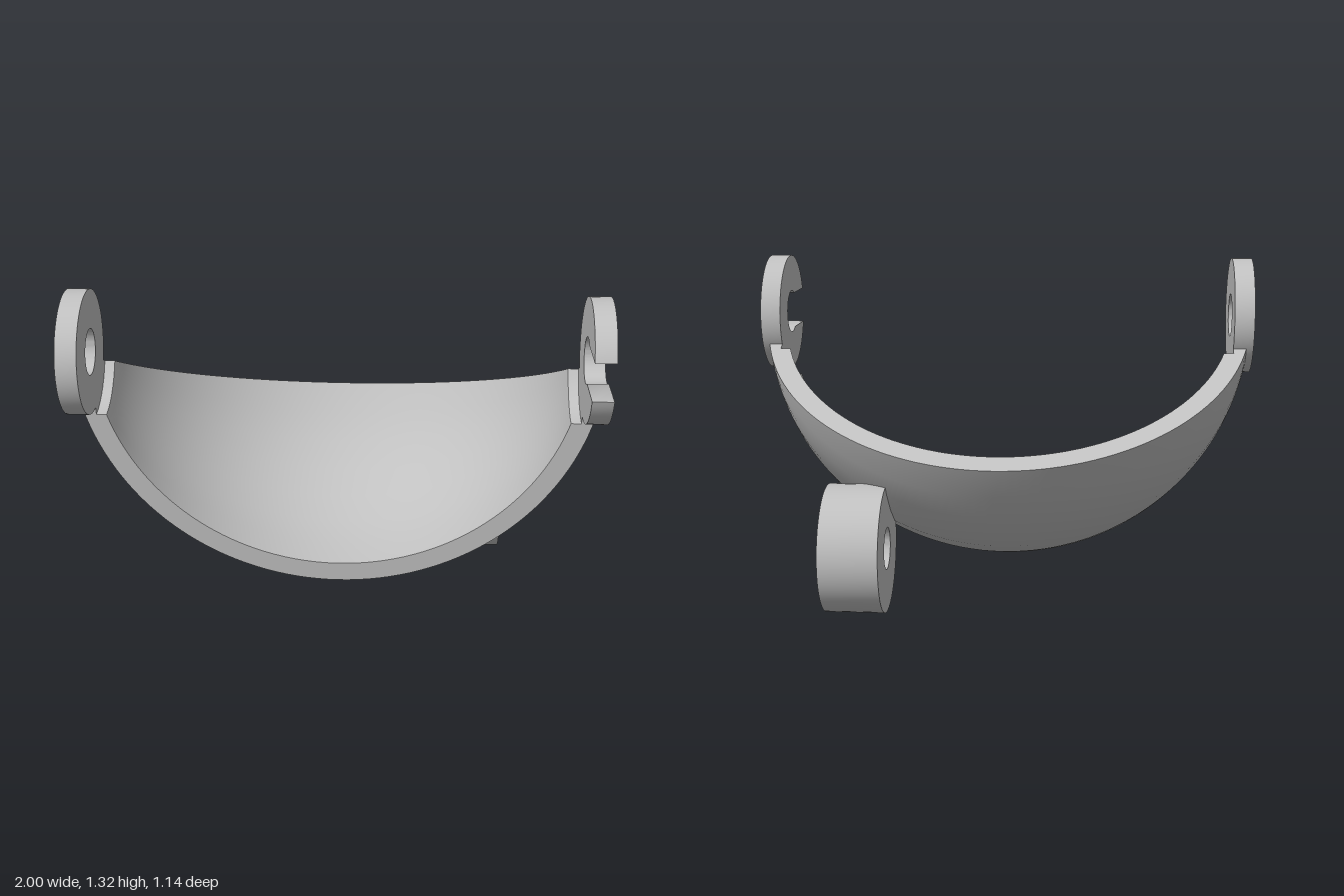
import * as THREE from 'three';
import { toCreasedNormals } from 'three/addons/utils/BufferGeometryUtils.js';

const OUTER = 1.0, INNER = 0.92;          // radii of the spherical shell
const PIVOT_Y = 1.09, PIVOT_Z = 0.338;    // hinge axis, parallel to x
const EAR_R = 0.235, EAR_HOLE = 0.0875, EAR_T = 0.08;
const CLEARANCE = 0.265;                  // shell is cut back around the ears
const START = THREE.MathUtils.degToRad(95.2);
const SWEEP = THREE.MathUtils.degToRad(57);

// Points (distance from axis, position along axis) on an arc of radius R
function arc(R, endRadius, steps) {
  const a = Math.acos(endRadius / R);
  return Array.from({ length: steps + 1 }, (_, i) => {
    const t = -a + (2 * a * i) / steps;
    return new THREE.Vector2(R * Math.cos(t), R * Math.sin(t));
  });
}

// Closed cross-section of the shell with a step at each end
function shellProfile() {
  const r = EAR_R - 0.004;
  return [
    ...arc(OUTER, r, 64),
    new THREE.Vector2(r, INNER),
    new THREE.Vector2(CLEARANCE, INNER),
    ...arc(INNER, CLEARANCE, 64).reverse(),
    new THREE.Vector2(CLEARANCE, -INNER),
    new THREE.Vector2(r, -INNER),
  ];
}

// Ring, optionally with a slot open to the front, extruded along x
function ring(R, hole, depth, slotHalf = 0) {
  const shape = new THREE.Shape();
  if (slotHalf) {
    const b = Math.asin(slotHalf / R), c = Math.asin(slotHalf / hole);
    shape.absarc(0, 0, R, Math.PI + b, Math.PI * 3 - b, false);
    shape.absarc(0, 0, hole, Math.PI - c, -Math.PI + c, true);
    shape.closePath();
  } else {
    shape.absarc(0, 0, R, 0, Math.PI * 2, false);
    const path = new THREE.Path();
    path.absarc(0, 0, hole, 0, Math.PI * 2, true);
    shape.holes.push(path);
  }
  const geo = new THREE.ExtrudeGeometry(shape, { depth, bevelEnabled: false, curveSegments: 32 });
  geo.rotateY(Math.PI / 2);
  return toCreasedNormals(geo, 0.6);
}

export function createModel() {
  const model = new THREE.Group();
  model.name = 'hingedVisor';
  const grey = new THREE.MeshStandardMaterial({ color: 0xc0c0c0 });
  grey.name = 'grey';

  const add = (parent, name, geo, x = 0, y = 0, z = 0) => {
    const mesh = new THREE.Mesh(geo, grey);
    mesh.name = name;
    mesh.position.set(x, y, z);
    parent.add(mesh);
  };

  // Curved shell: a wedge of a hollow sphere turned about the hinge axis
  const shell = new THREE.Group();
  shell.name = 'shell';
  shell.rotation.z = -Math.PI / 2;
  shell.position.set(0, PIVOT_Y, PIVOT_Z);
  model.add(shell);

  const profile = shellProfile();
  const wall = new THREE.LatheGeometry([...profile, profile[0].clone()], 7, START, SWEEP);
  add(shell, 'shellWall', toCreasedNormals(wall, 0.6));

  // Flat rims closing the two edges of the wedge
  [['frontRim', START], ['backRim', START + SWEEP]].forEach(([name, phi], i) => {
    const rim = new THREE.ShapeGeometry(new THREE.Shape(profile));
    if (i === 1) {
      rim.index.array.reverse();
      rim.computeVertexNormals();
    }
    rim.rotateY(phi - Math.PI / 2);
    add(shell, name, rim);
  });

  // Hinge ears: closed on the right, slotted on the left
  add(model, 'rightEar', ring(EAR_R, EAR_HOLE, EAR_T), -1, PIVOT_Y, PIVOT_Z);
  add(model, 'leftEar', ring(EAR_R, EAR_HOLE, EAR_T, 0.0725), 1 - EAR_T, PIVOT_Y, PIVOT_Z);

  // Bored boss on the back of the shell
  add(model, 'boss', ring(0.25, 0.082, 0.23), 0.43, 0.252, -0.32);

  return model;
}
